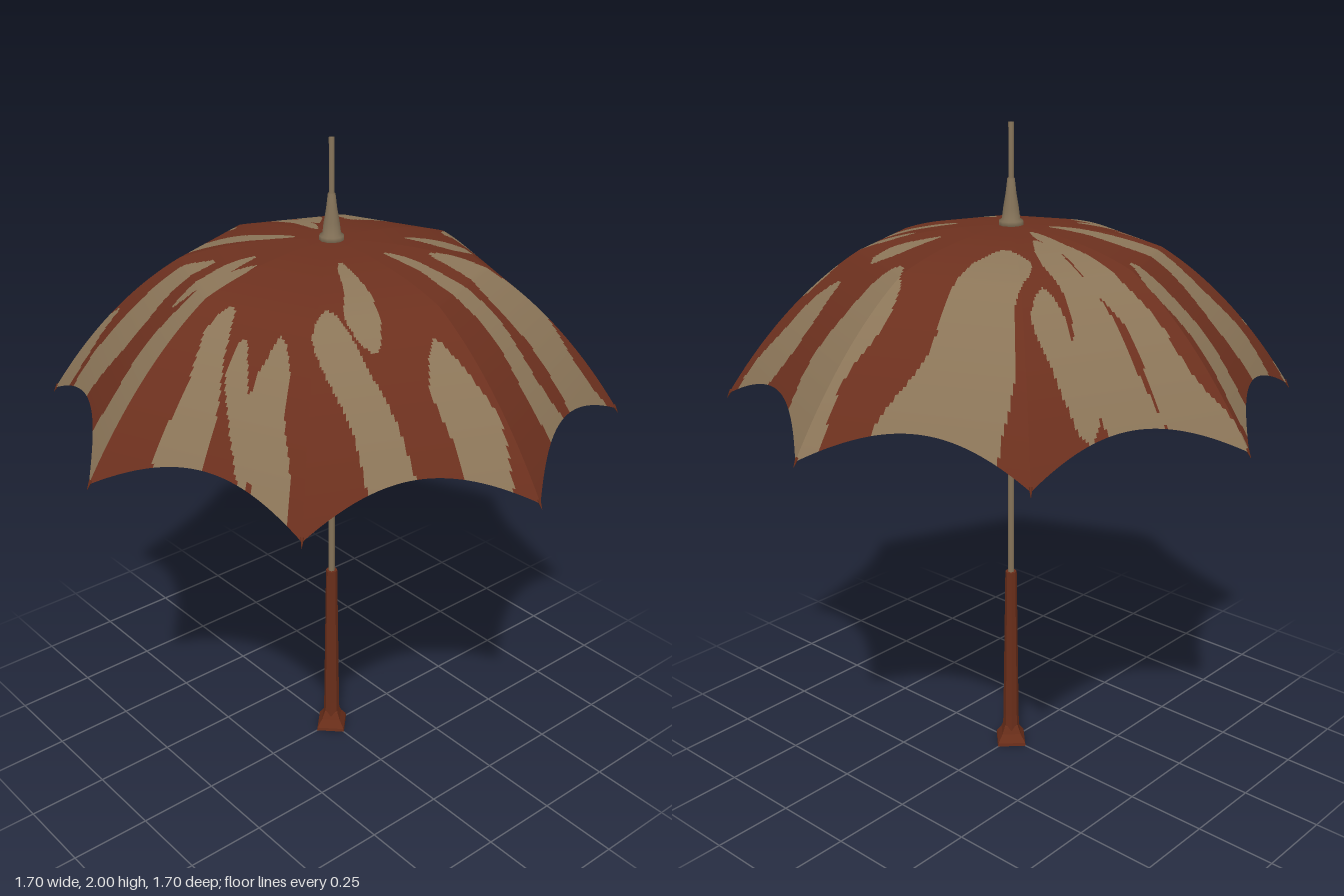
import * as THREE from 'three';

const RIBS = 8;
const STEP = (Math.PI * 2) / RIBS;

// Tan streaks on the cloth: [inner angle, outer angle, inner radius, outer radius, half width in degrees].
// Angles run from 90 to 450, so the pattern has its one seam at the front rib.
const STREAKS = [
  [93, 96, 0.26, 1, 6.5], [105, 104, 0.23, 0.48, 3], [120, 120, 0.33, 1, 7], [132, 133, 0.62, 1, 3],
  [146, 150, 0.11, 1, 7], [174, 172, 0.40, 1, 5],
  [197, 187, 0.11, 1, 6], [208, 202, 0.18, 1, 7], [218, 213, 0.44, 0.74, 5],
  [232, 244, 0.25, 1, 13],
  [275, 275, 0.40, 1, 9], [295, 297, 0.22, 0.42, 7], [302, 306, 0.50, 1, 6],
  [321, 326, 0.28, 1, 8.5], [341, 343, 0.17, 1, 5],
  [368, 368, 0.50, 1, 5.5], [402, 384, 0.40, 1, 6.5], [391, 387, 0.17, 0.5, 6],
  [417, 412, 0.47, 1, 4.5], [428, 418, 0.48, 0.74, 3.5], [438, 431, 0.42, 1, 5.5],
];

function isTan(x, z) {
  const r = Math.hypot(x, z);
  const deg = ((THREE.MathUtils.radToDeg(Math.atan2(z, x)) + 270) % 360) + 90;
  return STREAKS.some(([a0, a1, r0, r1, half], i) => {
    if (r < r0 || r > r1) return false;
    const along = (r - r0) / (Math.min(r1, 0.8) - r0);
    const centre = a0 + (a1 - a0) * along + Math.sin(r * 24 + i * 1.7);
    const ends = Math.sqrt(Math.min(1, (r - r0) / 0.08, r1 < 1 ? (r1 - r) / 0.07 : 1));
    const width = Math.max(half, 1.5 / r) * ends * (0.95 + 0.12 * Math.sin(r * 17 + i * 2.3));
    return Math.abs(deg - centre) < width;
  });
}

// Rib profile: shallow crown, then a steeper fall beyond the bend
const V = (x, y) => new THREE.Vector2(x, y);
const crown = new THREE.QuadraticBezierCurve(V(0.004, 1.71), V(0.25, 1.71), V(0.44, 1.64));
const skirt = new THREE.QuadraticBezierCurve(V(0.44, 1.64), V(0.66, 1.5), V(0.84, 1.215));

// One cloth panel, flat across between two ribs, with a scalloped hem
function panelGeometry(k) {
  const crownRows = 34, rows = 82, cols = 72;
  const a = k * STEP, b = a + STEP;
  const pos = [], red = [], tan = [];
  for (let i = 0; i <= rows; i++) {
    for (let j = 0; j <= cols; j++) {
      const v = j / cols;
      const hem = 1 - 0.17 * 4 * v * (1 - v);
      const p = i <= crownRows
        ? crown.getPoint(i / crownRows)
        : skirt.getPoint(((i - crownRows) / (rows - crownRows)) * hem);
      pos.push(
        p.x * THREE.MathUtils.lerp(Math.cos(a), Math.cos(b), v),
        p.y,
        p.x * THREE.MathUtils.lerp(Math.sin(a), Math.sin(b), v));
    }
  }
  for (let i = 0; i < rows; i++) {
    for (let j = 0; j < cols; j++) {
      const q = i * (cols + 1) + j, out = q + cols + 1;
      const x = (pos[q * 3] + pos[(out + 1) * 3]) / 2;
      const z = (pos[q * 3 + 2] + pos[(out + 1) * 3 + 2]) / 2;
      (isTan(x, z) ? tan : red).push(q, q + 1, out, q + 1, out + 1, out);
    }
  }
  const geo = new THREE.BufferGeometry();
  geo.setAttribute('position', new THREE.Float32BufferAttribute(pos, 3));
  geo.setIndex([...red, ...tan]);
  geo.addGroup(0, red.length, 0);
  geo.addGroup(red.length, tan.length, 1);
  geo.computeVertexNormals();
  return geo;
}

export function createModel() {
  const model = new THREE.Group();
  model.name = 'umbrella';

  const redCloth = new THREE.MeshStandardMaterial({ color: 0x6c301e, side: THREE.DoubleSide });
  redCloth.name = 'red brown cloth';
  const tanCloth = new THREE.MeshStandardMaterial({ color: 0x8b7558, side: THREE.DoubleSide });
  tanCloth.name = 'tan cloth';
  const metal = new THREE.MeshStandardMaterial({ color: 0x857359 });
  metal.name = 'dull brass';
  const wood = new THREE.MeshStandardMaterial({ color: 0x6a2e1a, flatShading: true });
  wood.name = 'red wood';

  const add = (name, geo, mat, parent = model) => {
    const mesh = new THREE.Mesh(geo, mat);
    mesh.name = name;
    parent.add(mesh);
    return mesh;
  };
  const lathe = (points, sides) => new THREE.LatheGeometry(points.map(([r, y]) => V(r, y)), sides);

  // Canopy panels and the little rib tips
  const canopy = new THREE.Group();
  canopy.name = 'canopy';
  model.add(canopy);
  const down = new THREE.Vector3(0.5, -0.85, 0).normalize();
  for (let k = 0; k < RIBS; k++) {
    add('canopyPanel', panelGeometry(k), [redCloth, tanCloth], canopy);
    const arm = new THREE.Group();
    arm.name = 'ribTip';
    arm.rotation.y = k * STEP;
    const tip = add('tipSpike', new THREE.ConeGeometry(0.005, 0.03, 6), wood, arm);
    tip.position.set(0.84, 1.212, 0);
    tip.quaternion.setFromUnitVectors(new THREE.Vector3(0, 1, 0), down);
    canopy.add(arm);
  }

  // Shaft from handle to crown
  const shaft = add('shaft', new THREE.CylinderGeometry(0.01, 0.01, 1.12, 10), metal);
  shaft.position.y = 1.15;

  // Ferrule: collar, tapered sleeve and thin spike
  add('ferrule', lathe([
    [0, 1.7], [0.036, 1.7], [0.036, 1.722], [0.027, 1.728], [0.023, 1.76],
    [0.016, 1.8], [0.011, 1.842], [0.008, 1.845], [0.008, 2], [0, 2],
  ], 12), metal);

  // Faceted grip on a square flared foot, corners on the axes
  add('grip', lathe([[0, 0.03], [0.027, 0.03], [0.025, 0.1], [0.018, 0.61], [0, 0.61]], 8), wood);
  add('foot', lathe([
    [0, 0], [0.064, 0], [0.062, 0.01], [0.042, 0.035], [0.03, 0.06], [0, 0.075],
  ], 4), wood);

  return model;
}
